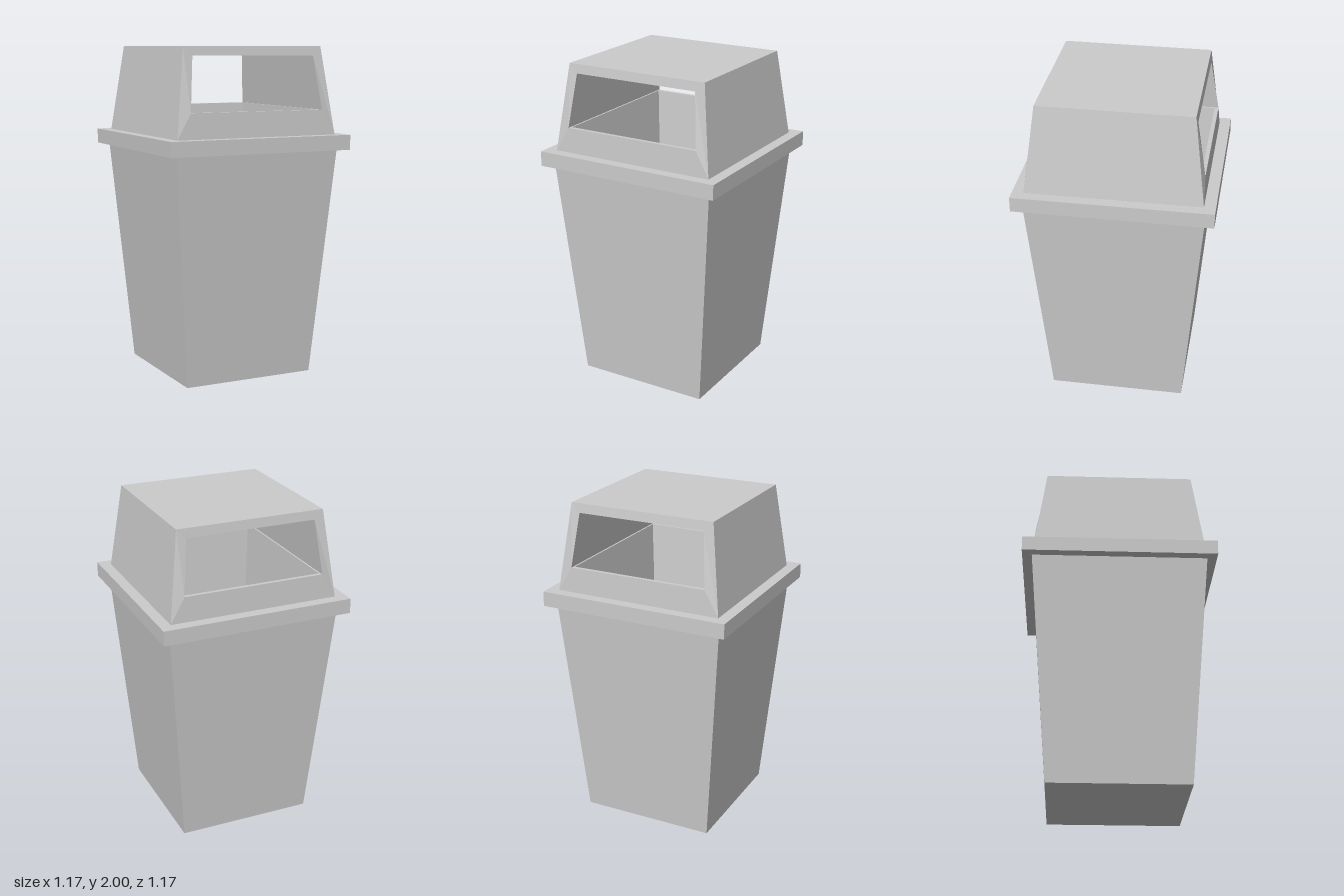
import * as THREE from 'three';

const material = new THREE.MeshStandardMaterial({ color: 0xcccccc, flatShading: true });

// Rectangular cross-section at height y, counter-clockwise from above
const ring = (hx, hz, y) => [[hx, y, hz], [hx, y, -hz], [-hx, y, -hz], [-hx, y, hz]];

// Upright trapezoid loop, counter-clockwise from the front: bottom edge then top edge
const trapezoid = (xLow, yLow, zLow, xTop, yTop, zTop) =>
  [[-xLow, yLow, zLow], [xLow, yLow, zLow], [xTop, yTop, zTop], [-xTop, yTop, zTop]];

// Quads joining two four-cornered loops
const bridge = (a, b) => a.map((p, i) => {
  const j = (i + 1) % 4;
  return [p, a[j], b[j], b[i]];
});

// Quads joining a series of loops
const skin = (...loops) => loops.slice(1).flatMap((loop, i) => bridge(loops[i], loop));

// Half turn about the vertical axis
const halfTurn = (quad) => quad.map(([x, y, z]) => [-x, y, -z]);

function mesh(name, quads) {
  const points = quads.flatMap(([a, b, c, d]) => [a, b, c, a, c, d]).flat();
  const geometry = new THREE.BufferGeometry();
  geometry.setAttribute('position', new THREE.Float32BufferAttribute(points, 3));
  geometry.computeVertexNormals();
  const m = new THREE.Mesh(geometry, material);
  m.name = name;
  return m;
}

export function createModel() {
  const group = new THREE.Group();
  group.name = 'litterBin';

  // Tapered bin body with a closed base
  const base = ring(0.415, 0.415, 0);
  const bodyTop = ring(0.527, 0.527, 1.385);
  group.add(mesh('body', [[...base].reverse(), ...skin(base, bodyTop)]));

  // Overhanging rim
  const lidBase = ring(0.517, 0.517, 1.475);
  group.add(mesh('rim', skin(bodyTop, ring(0.585, 0.585, 1.385), ring(0.585, 0.585, 1.475), lidBase)));

  // Hood: roof, two solid sides, and a framed opening at front and back
  const roof = ring(0.45, 0.45, 2);
  const walls = bridge(lidBase, roof);
  const opening = trapezoid(0.43, 1.625, 0.511, 0.395, 1.945, 0.457);
  const frame = bridge(trapezoid(0.517, 1.475, 0.517, 0.45, 2, 0.45), opening);
  group.add(mesh('hood', [roof, walls[0], walls[2], ...frame, ...frame.map(halfTurn)]));

  // Sides and ceiling of the passage between the openings
  const backOpening = opening.map(([x, y, z]) => [x, y, -z]);
  group.add(mesh('passage', bridge(opening, backOpening).slice(1)));

  // Sill around the well, and the tapered well inside the body
  const wellFloor = ring(0.33, 0.375, 0.04);
  group.add(mesh('well', [
    ...skin(ring(0.43, 0.511, 1.625), ring(0.42, 0.487, 1.625), wellFloor),
    wellFloor,
  ]));

  return group;
}
